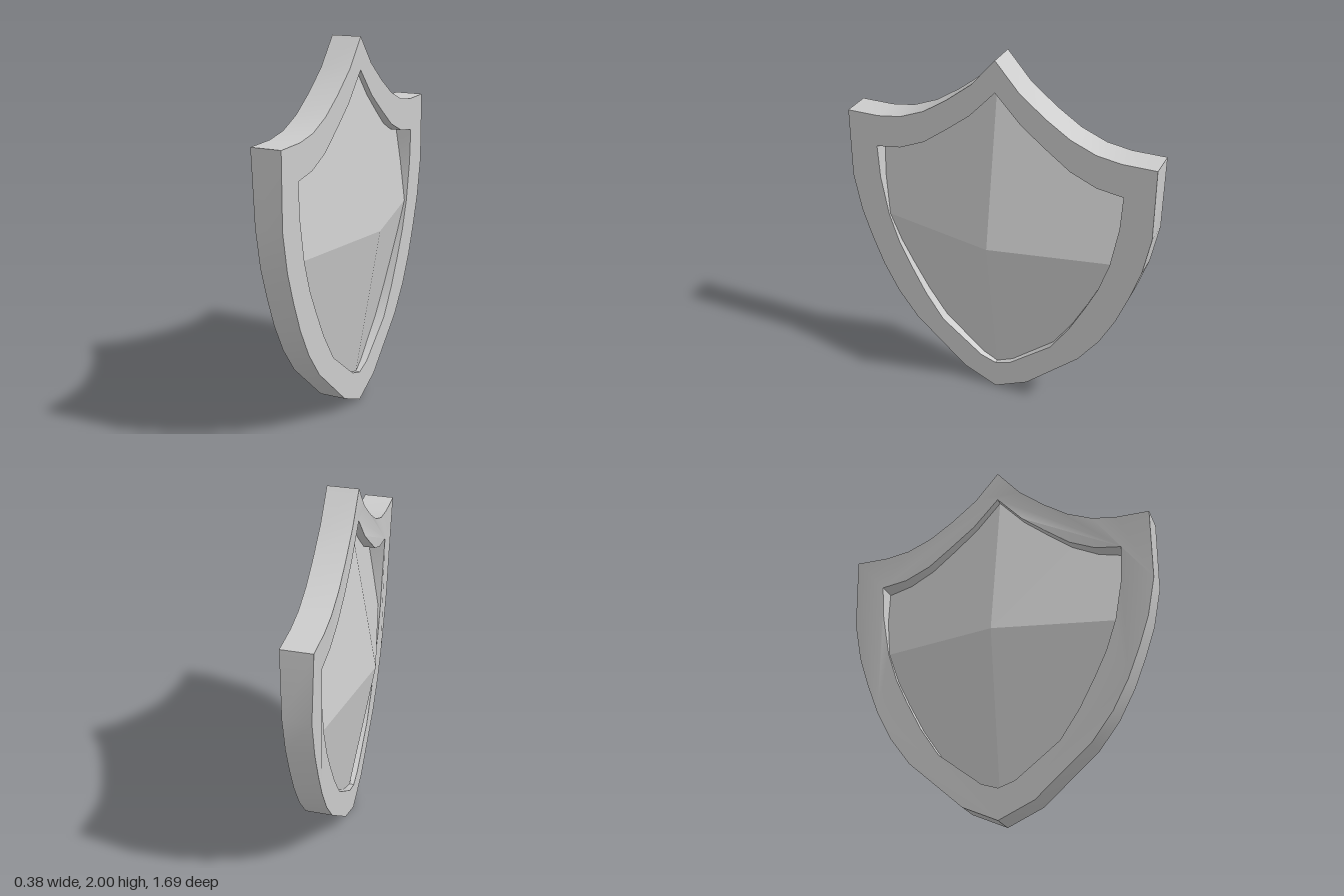
import * as THREE from 'three';
import { toCreasedNormals } from 'three/addons/utils/BufferGeometryUtils.js';

const CENTRE_Y = 0.99;

// Half outlines (width, height), from the top point down to the bottom point
const OUTER = [[0, 2], [0.13, 1.85], [0.27, 1.74], [0.4, 1.655], [0.535, 1.6], [0.665, 1.58],
  [0.845, 1.58], [0.845, 1.195], [0.805, 0.985], [0.75, 0.82], [0.685, 0.655], [0.6, 0.495],
  [0.487, 0.345], [0.19, 0.085], [0, 0]];
const INNER = [[0, 1.83], [0.14, 1.68], [0.275, 1.575], [0.405, 1.48], [0.545, 1.42], [0.685, 1.4],
  [0.675, 1.215], [0.635, CENTRE_Y], [0.58, 0.825], [0.515, 0.69], [0.43, 0.53], [0.325, 0.375],
  [0.09, 0.195], [0, 0.165]];

// Mirrors a half outline into a closed counter-clockwise loop
function fullOutline(half) {
  const left = half.map(([u, y]) => new THREE.Vector2(-u, y));
  const right = half.slice(1, -1).reverse().map(([u, y]) => new THREE.Vector2(u, y));
  return [...left, ...right];
}

// Thick rim, slightly deeper on the back towards the top
function rimGeometry() {
  const shape = new THREE.Shape(fullOutline(OUTER));
  shape.holes.push(new THREE.Path(fullOutline(INNER).reverse()));
  const geo = new THREE.ExtrudeGeometry(shape, { depth: 0.16, bevelEnabled: false });
  geo.translate(0, 0, -0.09);
  const pos = geo.attributes.position;
  for (let i = 0; i < pos.count; i++) {
    if (pos.getZ(i) > 0) continue;
    const t = THREE.MathUtils.clamp((pos.getY(i) - 1.195) / (1.58 - 1.195), 0, 1);
    pos.setZ(i, -0.075 - 0.015 * t);
  }
  geo.rotateY(Math.PI / 2);
  return toCreasedNormals(geo, 0.6);
}

// Four-sided shallow pyramid trimmed to the inner outline
function panelGeometry(apex) {
  const loop = fullOutline(INNER);
  const height = (p) => apex - 0.169 * Math.abs(p.y - CENTRE_Y) - 0.202 * Math.abs(p.x);
  const verts = [];
  loop.forEach((a, i) => {
    const b = loop[(i + 1) % loop.length];
    verts.push(0, CENTRE_Y, apex, a.x, a.y, height(a), b.x, b.y, height(b));
  });
  const geo = new THREE.BufferGeometry();
  geo.setAttribute('position', new THREE.Float32BufferAttribute(verts, 3));
  geo.computeVertexNormals();
  return geo;
}

export function createModel() {
  const model = new THREE.Group();
  model.name = 'shield';
  const material = new THREE.MeshStandardMaterial({ color: 0xcccccc });
  const flat = new THREE.MeshStandardMaterial({ color: 0xcccccc, flatShading: true });

  const add = (name, geometry, mat) => {
    const mesh = new THREE.Mesh(geometry, mat);
    mesh.name = name;
    model.add(mesh);
  };

  add('rim', rimGeometry(), material);
  // Panels on both broad faces, which look along +x and -x
  add('outerPanel', panelGeometry(0.186).rotateY(Math.PI / 2), flat);
  add('innerPanel', panelGeometry(0.19).rotateY(-Math.PI / 2), flat);
  return model;
}
